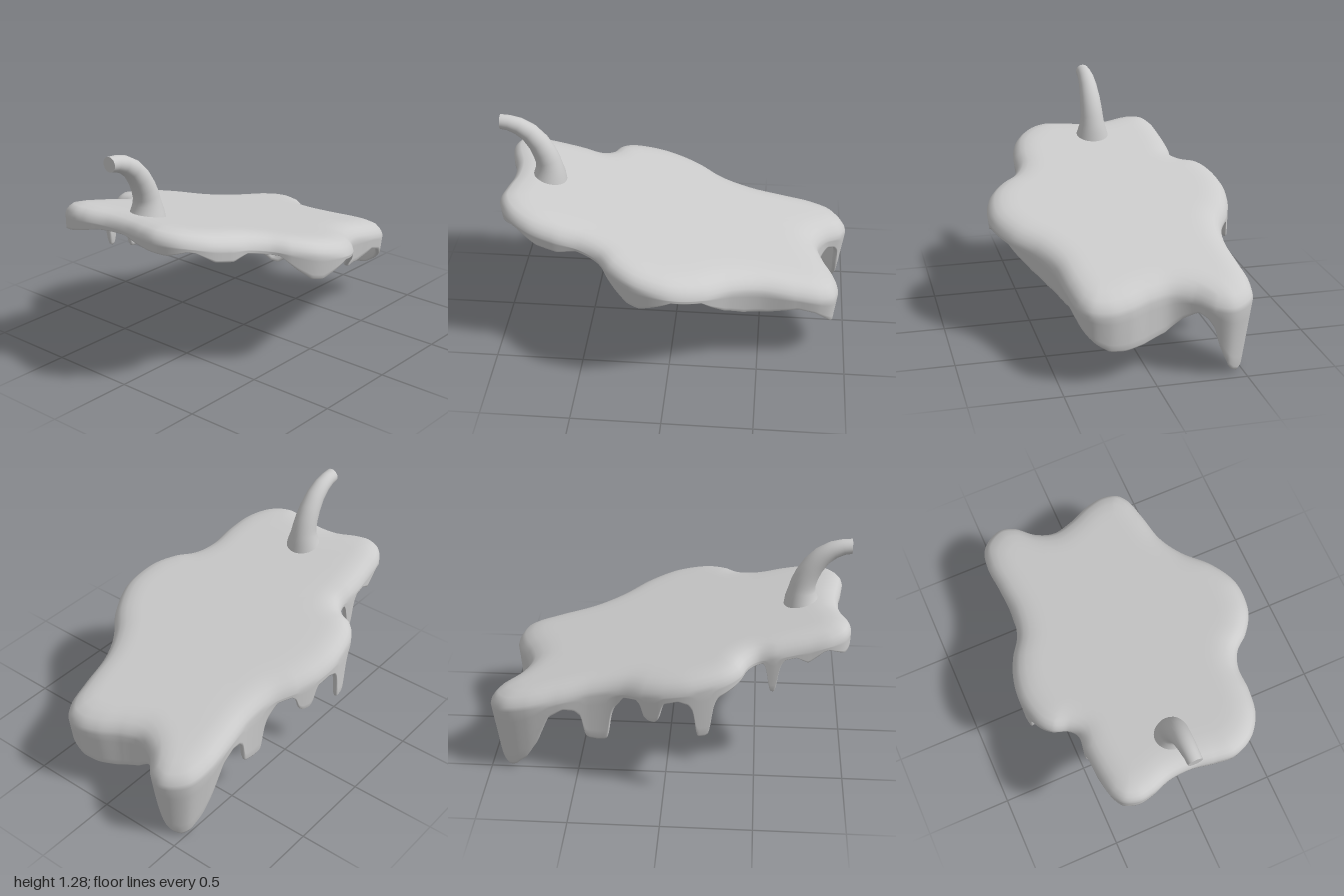
import * as THREE from 'three';

const COLS = 1000;
const material = new THREE.MeshStandardMaterial({ color: 0xcccccc, side: THREE.DoubleSide });

// Sloping plane that the sheet lies on
const planeY = (x) => 0.717 - 0.254 * x;

// Skin rows of closed rings into one smooth surface
function loft(rows) {
  const n = rows[0].length;
  const index = [];
  for (let r = 0; r < rows.length - 1; r++) {
    for (let c = 0; c < n; c++) {
      const a = r * n + c, e = r * n + (c + 1) % n;
      index.push(a, e + n, a + n, a, e, e + n);
    }
  }
  const geometry = new THREE.BufferGeometry();
  geometry.setAttribute('position', new THREE.Float32BufferAttribute(rows.flat().flatMap((p) => [p.x, p.y, p.z]), 3));
  geometry.setIndex(index);
  geometry.computeVertexNormals();
  return geometry;
}

// Lobed outline of the sheet (x, z), starting at the back right corner
const OUTLINE = [
  [-1, -0.36], [-0.97, -0.44], [-0.9, -0.485], [-0.78, -0.503], [-0.6, -0.512], [-0.5, -0.507],
  [-0.45, -0.545], [-0.41, -0.63], [-0.33, -0.69], [-0.15, -0.725], [0, -0.705], [0.12, -0.66],
  [0.25, -0.585], [0.42, -0.555], [0.6, -0.565], [0.78, -0.575], [0.91, -0.545], [0.98, -0.47],
  [1, -0.4], [0.97, -0.32], [0.87, -0.22], [0.83, -0.12], [0.86, 0], [0.92, 0.13], [0.945, 0.24],
  [0.92, 0.34], [0.85, 0.39], [0.7, 0.42], [0.5, 0.45], [0.35, 0.52], [0.2, 0.64], [0.05, 0.71],
  [-0.05, 0.72], [-0.2, 0.69], [-0.32, 0.61], [-0.4, 0.52], [-0.5, 0.475], [-0.65, 0.465],
  [-0.8, 0.43], [-0.92, 0.34], [-0.975, 0.22], [-0.965, 0.1], [-0.945, -0.02], [-0.95, -0.15], [-0.99, -0.28],
];

// Height of the dripping hem along each side: [x or z along the side, y]
const HEM = {
  back: [
    [-0.97, 0.79], [-0.87, 0.84], [-0.77, 0.755], [-0.69, 0.8], [-0.64, 0.77], [-0.613, 0.71], [-0.606, 0.59],
    [-0.595, 0.568], [-0.57, 0.568], [-0.56, 0.59], [-0.555, 0.69], [-0.53, 0.75], [-0.47, 0.76], [-0.4, 0.7],
    [-0.29, 0.64], [-0.264, 0.56], [-0.257, 0.43], [-0.235, 0.4], [-0.19, 0.397], [-0.175, 0.42], [-0.169, 0.54],
    [-0.14, 0.6], [-0.08, 0.62], [0, 0.59], [0.018, 0.54], [0.026, 0.485], [0.05, 0.458], [0.09, 0.456],
    [0.115, 0.48], [0.126, 0.545], [0.16, 0.58], [0.22, 0.56], [0.285, 0.46], [0.307, 0.38], [0.313, 0.28],
    [0.335, 0.25], [0.38, 0.243], [0.43, 0.25], [0.455, 0.275], [0.461, 0.38], [0.5, 0.425], [0.57, 0.435],
    [0.65, 0.38], [0.72, 0.2], [0.8, 0.08], [0.88, 0.02], [0.95, 0],
  ],
  left: [
    [-0.46, 0.02], [-0.41, 0.055], [-0.37, 0.1], [-0.335, 0.18], [-0.318, 0.27], [-0.29, 0.325], [-0.25, 0.35],
    [-0.18, 0.3], [-0.09, 0.22], [0.03, 0.185], [0.14, 0.177], [0.24, 0.19], [0.31, 0.23],
  ],
  front: [
    [0.88, 0.29], [0.82, 0.34], [0.72, 0.375], [0.55, 0.353], [0.42, 0.375], [0.32, 0.43], [0.25, 0.5], [0.19, 0.565],
    [0.13, 0.6], [0.05, 0.61], [-0.04, 0.575], [-0.15, 0.535], [-0.22, 0.55], [-0.29, 0.61], [-0.36, 0.7],
    [-0.42, 0.745], [-0.48, 0.75], [-0.62, 0.72], [-0.74, 0.75], [-0.87, 0.84], [-0.95, 0.81],
  ],
  right: [[0.1, 0.83], [-0.02, 0.85], [-0.2, 0.84]],
};

function hemHeights(rim) {
  const onSide = {
    back: (p) => p.z < -0.38, front: (p) => p.z > 0.2,
    left: (p) => p.x > 0.8 && p.z > -0.48, right: (p) => p.x < -0.9 && p.z < 0.22,
  };
  const keys = [];
  for (const side in HEM) {
    const axis = side === 'back' || side === 'front' ? 'x' : 'z';
    for (const [at, y] of HEM[side]) {
      let best = -1;
      rim.forEach((p, i) => {
        if (onSide[side](p) && (best < 0 || Math.abs(p[axis] - at) < Math.abs(rim[best][axis] - at))) best = i;
      });
      keys.push([best, y]);
    }
  }
  keys.sort((a, b) => a[0] - b[0]);
  let heights = rim.map((_, i) => {
    const k = Math.max(keys.findIndex((key) => key[0] > i), 0);
    const [i0, y0] = keys[(k + keys.length - 1) % keys.length];
    const [i1, y1] = keys[k];
    return THREE.MathUtils.lerp(y0, y1, ((i - i0 + COLS) % COLS) / ((i1 - i0 + COLS) % COLS));
  });
  // Soften the corners of the hem
  for (let pass = 0; pass < 2; pass++) {
    heights = heights.map((y, i) => (heights[(i + COLS - 1) % COLS] + y + heights[(i + 1) % COLS]) / 3);
  }
  return heights;
}

// Inward lean of the wall: strong on the long corner drip, slight at the front, upright at the back
const lean = (p) => 0.02 + 0.12 * THREE.MathUtils.smoothstep(p.x - p.z, 1, 1.3)
  + 0.1 * THREE.MathUtils.smoothstep(p.z, 0, 0.3);

// Thin sheet: flat top, rolled edge, dripping wall, lip and hollow underside
function sheetGeometry() {
  const curve = new THREE.CatmullRomCurve3(OUTLINE.map(([x, z]) => new THREE.Vector3(x, 0, z)), true);
  curve.arcLengthDivisions = 1500;
  const rim = curve.getSpacedPoints(COLS).slice(0, COLS);
  const hem = hemHeights(rim);
  const inward = rim.map((_, i) => {
    const t = rim[(i + 3) % COLS].clone().sub(rim[(i + COLS - 3) % COLS]).normalize();
    return new THREE.Vector3(-t.z, 0, t.x);
  });
  const insetRing = (inset) => rim.map((p, i) => p.clone().addScaledVector(inward[i], inset));
  const base = insetRing(0.045);

  // The top sinks smoothly as it nears the rim
  const topRow = (scale) => base.map((p) => {
    const q = p.clone().multiplyScalar(scale);
    const distance = Math.sqrt(rim.reduce((min, r) => Math.min(min, r.distanceToSquared(q)), 1));
    return q.setY(planeY(q.x) - 0.05 * Math.max(0, 1 - distance / 0.18) ** 3);
  });
  const rollRow = (inset, drop) => insetRing(inset).map((p) => p.setY(planeY(p.x) - drop));
  // t runs from the rolled edge (0) to the hem (1)
  const wallRow = (t, inset, lift = 0) => rim.map((p, i) => {
    const top = planeY(p.x) - 0.087;
    const fall = Math.max(top - hem[i], 0.02) * t;
    return p.clone().addScaledVector(inward[i], inset + lean(p) * fall).setY(top - fall + lift);
  });
  const underRow = (scale, drop) => base.map((p) =>
    new THREE.Vector3(p.x * scale, planeY(p.x * scale) - drop, p.z * scale));

  return loft([
    ...[0, 0.35, 0.6, 0.72, 0.8, 0.87, 0.94, 1].map(topRow),
    rollRow(0.022, 0.042), rollRow(0.007, 0.063),
    ...[0, 0.2, 0.4, 0.6, 0.8, 0.95].map((t) => wallRow(t, 0)),
    wallRow(1, 0.008), wallRow(1, 0.02), wallRow(0.95, 0.028, 0.004),
    wallRow(0.7, 0.03), wallRow(0.35, 0.032), wallRow(0, 0.036),
    underRow(0.95, 0.06), underRow(0.85, 0.047), underRow(0.5, 0.042), underRow(0, 0.042),
  ]);
}

// Bent stem with a flared foot and a flat cut end: [x, y, radius]
function stemGeometry() {
  const stations = [
    [-0.735, 0.885, 0.103], [-0.735, 0.925, 0.091], [-0.736, 0.97, 0.077], [-0.742, 1.01, 0.071], [-0.76, 1.06, 0.067],
    [-0.79, 1.118, 0.062], [-0.84, 1.18, 0.055], [-0.9, 1.22, 0.049], [-0.955, 1.238, 0.044], [-1, 1.243, 0.042],
  ];
  const last = stations.length - 1;
  const ring = ([x, y, radius], i) => {
    const a = stations[Math.max(i - 1, 0)], b = stations[Math.min(i + 1, last)];
    let angle = Math.atan2(b[1] - a[1], b[0] - a[0]);
    if (i === 0) angle = Math.atan2(1, 0.254); // foot lies along the slope
    if (i === last) angle = Math.PI; // upright cut
    return Array.from({ length: 32 }, (_, k) => {
      const u = (k / 32) * Math.PI * 2, side = Math.cos(u) * radius;
      return new THREE.Vector3(x + Math.sin(angle) * side, y - Math.cos(angle) * side, -0.05 - Math.sin(u) * radius);
    });
  };
  const rows = stations.map(ring);
  const end = rows[last];
  // Repeated ring keeps the cut edge sharp
  rows.push(end.map((p) => p.clone()), end.map(() => new THREE.Vector3(-1, 1.243, -0.05)));
  return loft(rows);
}

export function createModel() {
  const group = new THREE.Group();
  const parts = { drippingSheet: sheetGeometry(), stem: stemGeometry() };
  for (const name in parts) {
    const mesh = new THREE.Mesh(parts[name], material);
    mesh.name = name;
    group.add(mesh);
  }
  return group;
}
